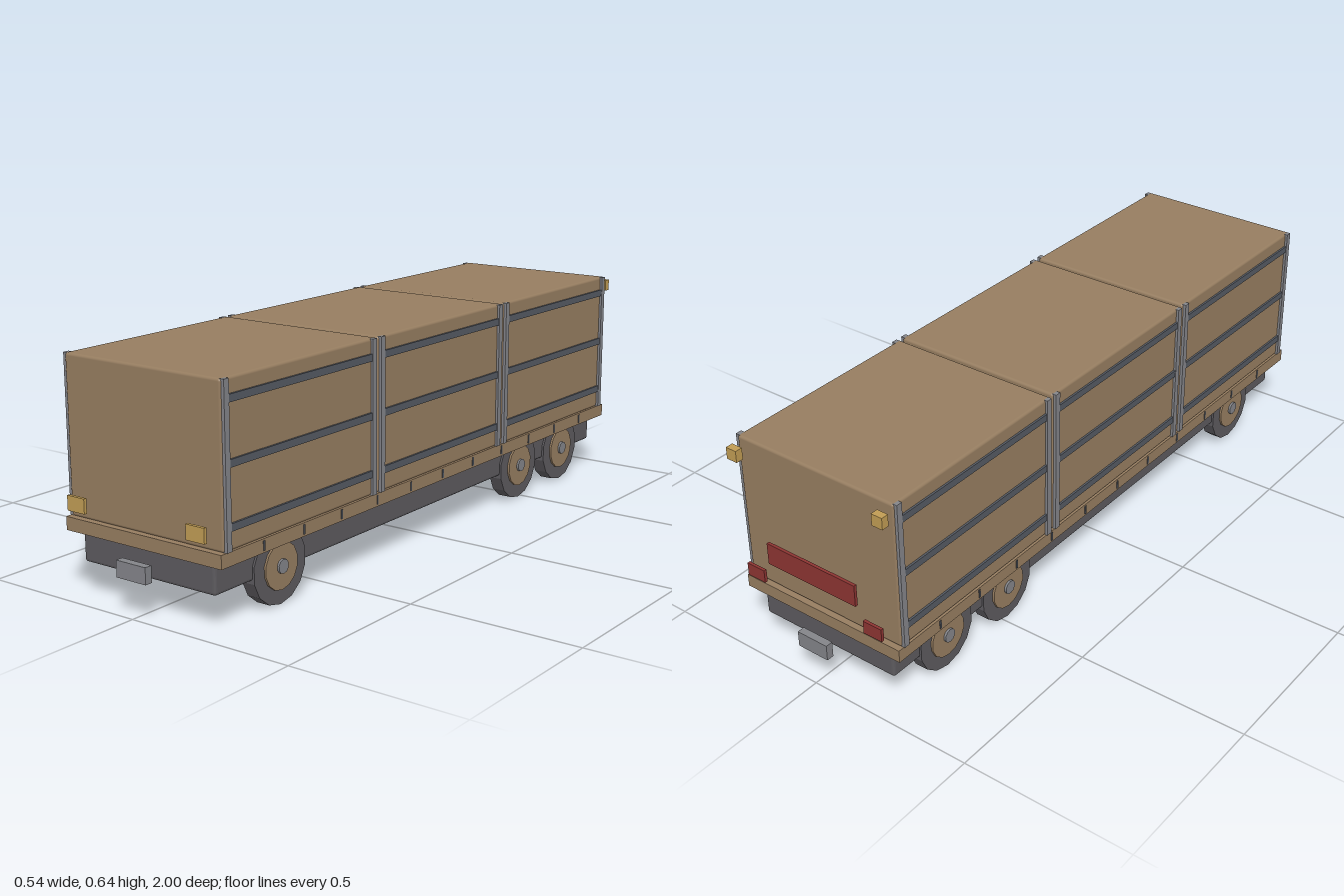
import * as THREE from 'three';
import { RoundedBoxGeometry } from 'three/addons/geometries/RoundedBoxGeometry.js';

const mat = (name, color, flatShading = false) => {
  const m = new THREE.MeshStandardMaterial({ color, flatShading });
  m.name = name;
  return m;
};

export function createModel() {
  const tan = mat('tan', 0x967d60);
  const darkGrey = mat('dark grey', 0x5c5a5e, true);
  const steel = mat('steel', 0x555a63);
  const lightGrey = mat('light grey', 0x838489);
  const amber = mat('amber', 0xc09c54);
  const red = mat('red', 0x8c3432);

  const model = new THREE.Group();
  model.name = 'containerWagon';

  const add = (name, geometry, material, x, y, z, parent = model) => {
    const mesh = new THREE.Mesh(geometry, material);
    mesh.name = name;
    mesh.position.set(x, y, z);
    parent.add(mesh);
    return mesh;
  };
  const box = (name, material, w, h, d, x, y, z, parent) =>
    add(name, new THREE.BoxGeometry(w, h, d), material, x, y, z, parent);

  // Chassis and load deck
  add('chassis', new RoundedBoxGeometry(0.45, 0.083, 1.88, 2, 0.008), darkGrey, 0, 0.1315, 0);
  box('deck', tan, 0.53, 0.037, 1.92, 0, 0.1915, 0);

  // Small ribs along both deck edges
  for (const side of [-1, 1]) {
    for (let i = -5; i <= 5; i++) {
      box('deckRib', steel, 0.003, 0.026, 0.006, side * 0.2655, 0.192, i * 0.16);
    }
  }

  // Three cargo boxes with end posts and horizontal side straps
  for (const z of [-0.634, 0, 0.634]) {
    const cargo = new THREE.Group();
    cargo.name = 'cargoBox';
    cargo.position.z = z;
    model.add(cargo);
    add('cargoBody', new RoundedBoxGeometry(0.522, 0.432, 0.622, 2, 0.008), tan, 0, 0.425, 0, cargo);
    for (const side of [-1, 1]) {
      for (const end of [-1, 1]) {
        box('cornerPost', lightGrey, 0.014, 0.43, 0.018, side * 0.2615, 0.425, end * 0.298, cargo);
      }
      for (const y of [0.27, 0.43, 0.59]) {
        box('sideStrap', steel, 0.008, 0.02, 0.585, side * 0.263, y, 0, cargo);
      }
    }
  }

  // Wheels: tyre, rim disc and hub cap, one axle group for each position
  const disc = (radius, width, sides) => {
    const g = new THREE.CylinderGeometry(radius, radius, width, sides);
    g.rotateY(Math.PI / sides);
    return g.rotateZ(Math.PI / 2);
  };
  const tyreGeo = disc(0.105, 0.04, 14);
  const rimGeo = disc(0.065, 0.012, 14);
  const capGeo = disc(0.02, 0.018, 10);
  for (const z of [0.697, -0.48, -0.738]) {
    for (const side of [-1, 1]) {
      const wheel = new THREE.Group();
      wheel.name = 'wheel';
      wheel.position.set(0, 0.104, z);
      model.add(wheel);
      add('tyre', tyreGeo, darkGrey, side * 0.211, 0, 0, wheel);
      add('rim', rimGeo, tan, side * 0.231, 0, 0, wheel);
      add('hubCap', capGeo, lightGrey, side * 0.2345, 0, 0, wheel);
    }
  }

  // Couplers at both ends
  for (const end of [-1, 1]) {
    box('coupler', lightGrey, 0.1, 0.046, 0.022, 0, 0.123, end * 0.989);
  }

  // Lights
  for (const side of [-1, 1]) {
    box('headlight', amber, 0.06, 0.041, 0.009, side * 0.203, 0.258, 0.979);
    box('tailLight', red, 0.06, 0.038, 0.009, side * 0.202, 0.258, -0.98);
    box('roofMarker', amber, 0.034, 0.034, 0.022, side * 0.243, 0.608, -0.975);
  }
  box('rearPanel', red, 0.3, 0.064, 0.009, 0, 0.343, -0.98);

  return model;
}
